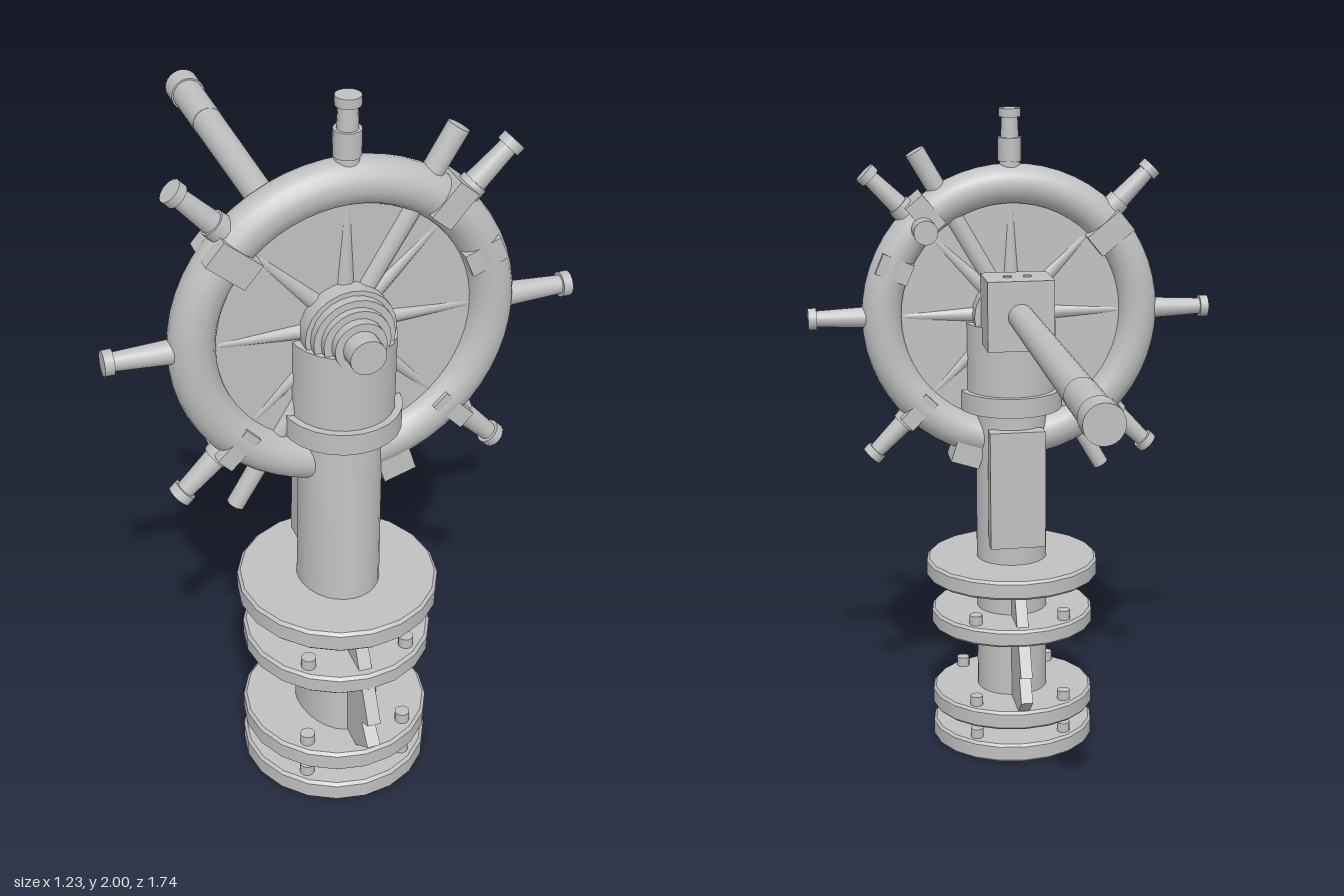
import * as THREE from 'three';

const AXIS_Z = 0.567; // z of the pedestal axis
const HUB_Y = 1.385;

export function createModel() {
  const model = new THREE.Group();
  const metal = new THREE.MeshStandardMaterial({ color: 0xc0c0c0 });
  metal.name = 'grey metal';

  const add = (parent, name, geometry, x = 0, y = 0, z = 0) => {
    const mesh = new THREE.Mesh(geometry, metal);
    mesh.name = name;
    mesh.position.set(x, y, z);
    parent.add(mesh);
    return mesh;
  };
  // Upright cylinder from y0 to y1
  const post = (parent, name, r0, r1, y0, y1, x = 0, z = 0, sides = 24) =>
    add(parent, name, new THREE.CylinderGeometry(r1, r0, y1 - y0, sides), x, (y0 + y1) / 2, z);
  // Cylinder along z from z0 to z1
  const axle = (parent, name, r0, r1, z0, z1, x = 0, y = 0) => {
    const geo = new THREE.CylinderGeometry(r1, r0, Math.abs(z1 - z0), 24);
    geo.rotateX(z1 > z0 ? Math.PI / 2 : -Math.PI / 2);
    return add(parent, name, geo, x, y, (z0 + z1) / 2);
  };

  // Pedestal: stacked flanges with bolts
  const pedestal = new THREE.Group();
  pedestal.name = 'pedestal';
  pedestal.position.z = AXIS_Z;
  model.add(pedestal);
  for (const [y0, y1, r, bolts] of [
    [0, 0.06, 0.255, true], [0.11, 0.17, 0.255, true],
    [0.385, 0.44, 0.255, true], [0.545, 0.605, 0.27, false],
  ]) {
    const b = 0.008;
    const pts = [[0, y0], [r - b, y0], [r, y0 + b], [r, y1 - b], [r - b, y1], [0, y1]];
    add(pedestal, 'flange', creased(pts, 20));
    if (!bolts) continue;
    for (const sx of [-1, 1]) for (const sz of [-1, 1]) {
      post(pedestal, 'flangeBolt', 0.02, 0.02, y1 - 0.01, y1 + 0.03, sx * 0.138, sz * 0.165, 12);
    }
  }
  post(pedestal, 'footStub', 0.11, 0.11, 0.05, 0.12);

  // Column: straight back, front bulging towards the foot
  const column = new THREE.CylinderGeometry(0.11, 0.11, 0.95, 28, 6);
  column.translate(0, 0.625, 0);
  const p = column.attributes.position;
  for (let i = 0; i < p.count; i++) {
    const t = (p.getY(i) - 0.15) / 0.95;
    if (p.getZ(i) > 0) p.setZ(i, p.getZ(i) * (1.46 - 0.6 * t));
  }
  const cap = column.groups[0].count; // smooth the side after reshaping, keep flat caps
  const capNormals = column.attributes.normal.clone();
  column.computeVertexNormals();
  for (let i = 0; i < p.count; i++) {
    if (Math.abs(capNormals.getY(i)) > 0.9) column.attributes.normal.setXYZ(i, 0, capNormals.getY(i), 0);
  }
  if (cap) add(pedestal, 'column', column);
  add(pedestal, 'backPlate', new THREE.BoxGeometry(0.17, 0.37, 0.05), 0, 0.855, -0.112);

  // Stepped fin between the flanges, drawn in z and y
  const fin = new THREE.Shape([
    [0.73, 0.55], [0.87, 0.31], [0.825, 0.285], [0.872, 0.235], [0.78, 0.165],
    [0.33, 0.165], [0.265, 0.22], [0.305, 0.29], [0.27, 0.3], [0.33, 0.41], [0.4, 0.55],
  ].map(([z, y]) => new THREE.Vector2(AXIS_Z - z, y)));
  const finGeo = new THREE.ExtrudeGeometry(fin, { depth: 0.036, bevelEnabled: false });
  finGeo.translate(0, 0, -0.018).rotateY(Math.PI / 2);
  add(pedestal, 'fin', finGeo);

  // Collar and sleeve that carry the wheel
  post(pedestal, 'collar', 0.157, 0.157, 1.09, 1.15);
  post(pedestal, 'sleeve', 0.138, 0.138, 1.15, 1.36);

  // Wheel
  const wheel = new THREE.Group();
  wheel.name = 'wheel';
  wheel.position.set(0, HUB_Y, AXIS_Z);
  model.add(wheel);
  add(wheel, 'rim', new THREE.TorusGeometry(0.393, 0.06, 18, 56));
  axle(wheel, 'wheelDisc', 0.36, 0.36, -0.012, 0.012);

  // Spokes with turned handles; the top one is heavier
  for (let i = 0; i < 8; i++) {
    const arm = new THREE.Group();
    arm.name = 'spokeArm';
    arm.rotation.z = (i * Math.PI) / 4;
    wheel.add(arm);
    if (i !== 4) {
      post(arm, 'spoke', 0.028, 0.012, 0.05, 0.35, 0, 0, 12);
      post(arm, 'handle', 0.033, 0.024, 0.42, 0.597, 0, 0, 16);
      post(arm, 'handleCap', 0.033, 0.033, 0.59, 0.615, 0, 0, 16);
    }
    if (i === 0) post(arm, 'topGrip', 0.036, 0.036, 0.46, 0.53, 0, 0, 12);
    if (i % 2) post(arm, 'handleSocket', 0.04, 0.036, 0.4, 0.475, 0, 0, 12);
  }

  // Plain rod crossing the wheel
  const rod = post(wheel, 'crossRod', 0.024, 0.03, -0.575, 0.565, 0, 0, 16);
  rod.rotation.z = -Math.PI / 6;
  rod.position.set(0, 0, 0);

  // Clamps on the rim: angle in degrees, radius, radial and tangential size
  for (const [deg, r, radial, tangent, depth] of [
    [141, 0.385, 0.125, 0.075, 0.126], [23, 0.386, 0.1, 0.065, 0.115],
    [50, 0.405, 0.11, 0.065, 0.126], [225, 0.41, 0.11, 0.05, 0.115],
    [-45, 0.41, 0.11, 0.05, 0.115], [-72, 0.452, 0.075, 0.09, 0.1],
  ]) {
    const a = THREE.MathUtils.degToRad(deg);
    const clamp = add(wheel, 'rimClamp', new THREE.BoxGeometry(radial, tangent, depth), r * Math.cos(a), r * Math.sin(a), 0);
    clamp.rotation.z = a;
  }
  axle(wheel, 'rearPeg', 0.036, 0.036, -0.04, -0.125, 0.268, 0.27);

  // Stepped hub
  for (const [r, z0, z1] of [
    [0.12, -0.07, 0.06], [0.107, 0.06, 0.085], [0.088, 0.08, 0.105], [0.068, 0.1, 0.13], [0.047, 0.12, 0.18],
  ]) axle(wheel, 'hubStep', r, r, z0, z1);

  // Rear block and long pipe
  add(model, 'rearBlock', new THREE.BoxGeometry(0.2, 0.21, 0.155), 0, 1.415, 0.432);
  for (const x of [-0.03, 0.03]) post(model, 'blockScrew', 0.013, 0.013, 1.51, 1.524, x, 0.43, 12);
  axle(model, 'pipe', 0.039, 0.046, 0.36, -0.6, 0, 1.413);
  axle(model, 'pipeEnd', 0.047, 0.048, -0.59, -0.81, 0, 1.413);
  axle(model, 'pipeCap', 0.053, 0.053, -0.8, -0.872, 0, 1.413);

  return model;
}

// Lathe with sharp profile corners: each profile segment is its own smooth band
function creased(points, sides) {
  const pts = [];
  for (let i = 0; i < points.length - 1; i++) pts.push(points[i], points[i + 1]);
  const geo = new THREE.LatheGeometry(pts.map(([x, y]) => new THREE.Vector2(x, y)), sides);
  const n = geo.attributes.normal;
  for (let s = 0; s <= sides; s++) {
    const phi = (s / sides) * Math.PI * 2;
    for (let j = 0; j < pts.length; j++) {
      const k = j - (j % 2);
      const dx = pts[k + 1][0] - pts[k][0], dy = pts[k + 1][1] - pts[k][1], l = Math.hypot(dx, dy);
      n.setXYZ(s * pts.length + j, (dy / l) * Math.sin(phi), -dx / l, (dy / l) * Math.cos(phi));
    }
  }
  return geo;
}
